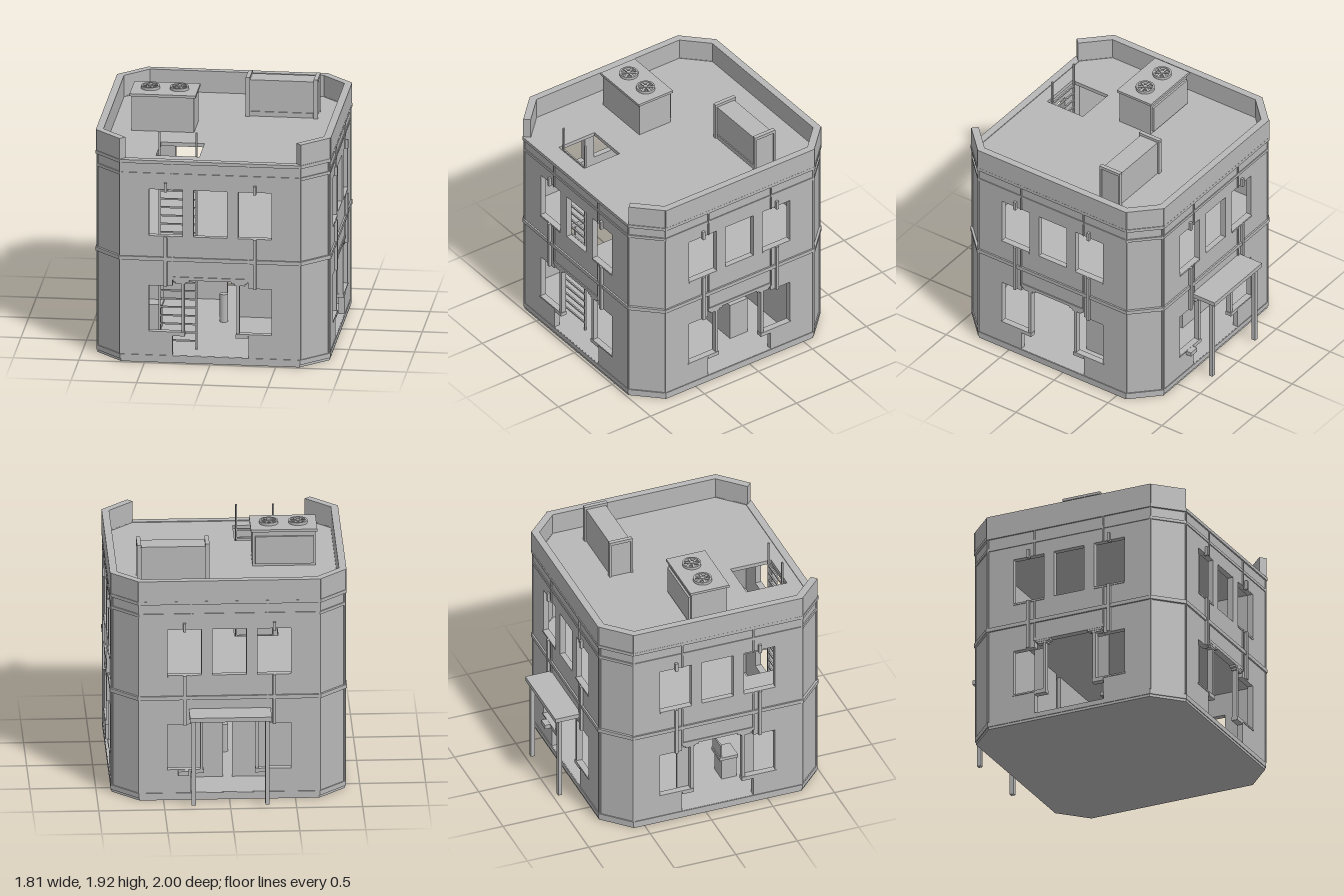
import * as THREE from 'three';

export function createModel() {
  const model = new THREE.Group();
  model.name = 'cornerBuilding';
  const grey = new THREE.MeshStandardMaterial({ color: 0xb8b8b8 });
  grey.name = 'plain grey';

  const add = (parent, name, geo) => {
    const mesh = new THREE.Mesh(geo, grey);
    mesh.name = name;
    parent.add(mesh);
    return mesh;
  };
  // Box given by its two extremes on each axis
  const box = (parent, name, x0, x1, y0, y1, z0, z1) => {
    const mesh = add(parent, name, new THREE.BoxGeometry(x1 - x0, y1 - y0, z1 - z0));
    mesh.position.set((x0 + x1) / 2, (y0 + y1) / 2, (z0 + z1) / 2);
    return mesh;
  };
  const path = pts => pts.map(p => new THREE.Vector2(p[0], p[1]));
  const rect = (x0, x1, y0, y1) => new THREE.Path(path([[x0, y0], [x0, y1], [x1, y1], [x1, y0]]));

  // Square plan with cut corners; a is the distance from centre to wall
  const octagon = (a, cut = 0.205) => {
    const b = a - cut;
    return path([[b, -a], [a, -b], [a, b], [b, a], [-b, a], [-a, b], [-a, -b], [-b, -a]]);
  };
  const slab = (parent, name, a, y0, y1, holes = []) => {
    const shape = new THREE.Shape(octagon(a));
    shape.holes.push(...holes);
    const geo = new THREE.ExtrudeGeometry(shape, { depth: y1 - y0, bevelEnabled: false });
    geo.rotateX(-Math.PI / 2);
    add(parent, name, geo).position.y = y0;
  };
  const ring = (parent, name, a, y0, y1, inner = 0.84) =>
    slab(parent, name, a, y0, y1, [new THREE.Path(octagon(inner, 0.18))]);

  const house = new THREE.Group();
  house.name = 'house';
  house.position.z = 0.095;
  model.add(house);

  // Floors and roof, the upper two with a ladder hatch
  const hatch = () => rect(-0.43, -0.10, -0.745, -0.415);
  slab(house, 'baseSlab', 0.885, 0, 0.02);
  slab(house, 'groundFloor', 0.86, 0.02, 0.06);
  slab(house, 'upperFloor', 0.86, 0.79, 0.83, [hatch()]);
  slab(house, 'roof', 0.86, 1.57, 1.6, [hatch()]);

  // Four identical walls
  const W = 0.885, T = 0.045;
  for (let i = 0; i < 4; i++) {
    const side = new THREE.Group();
    side.name = ['frontWall', 'leftWall', 'backWall', 'rightWall'][i];
    side.rotation.y = i * Math.PI / 2;
    house.add(side);

    const wall = new THREE.Shape(path([[-0.68, 0.02], [0.68, 0.02], [0.68, 1.6], [-0.68, 1.6]]));
    for (const x of [-0.34, 0, 0.34]) wall.holes.push(rect(x - 0.128, x + 0.128, 1.005, 1.375));
    // Doorway joined to a window on each side
    wall.holes.push(new THREE.Path(path([
      [-0.29, 0.06], [-0.29, 0.245], [-0.468, 0.245], [-0.468, 0.61], [-0.29, 0.61], [-0.29, 0.66],
      [0.29, 0.66], [0.29, 0.61], [0.468, 0.61], [0.468, 0.245], [0.29, 0.245], [0.29, 0.06]])));
    add(side, 'wall', new THREE.ExtrudeGeometry(wall, { depth: T, bevelEnabled: false })).position.z = W - T;

    box(side, 'lintel', -0.29, 0.29, 0.66, 0.685, W - T, W + 0.008);
    for (const s of [-1, 1]) {
      const at = (name, x, w, y0, y1, z0, z1) =>
        box(side, name, s * x - w / 2, s * x + w / 2, y0, y1, z0, z1);
      // Thin strips and the wider ones that join the windows
      at('thinStrip', 0.29, 0.012, 0.66, 1.005, W - 0.01, W + 0.01);
      at('thinStrip', 0.29, 0.012, 1.375, 1.58, W - 0.01, W + 0.01);
      at('windowStrip', 0.34, 0.025, 0.61, 1.005, W - 0.01, W + 0.022);
      at('windowKeystone', 0.34, 0.022, 1.36, 1.43, W - 0.01, W + 0.022);
      at('edgeStrip', 0.683, 0.014, 0.06, 1.58, W - 0.01, W + 0.006);
      // Window post standing in the doorway
      at('windowPost', 0.21, 0.022, 0.235, 0.635, W - T, W);
      at('postCap', 0.225, 0.08, 0.63, 0.647, W - T, W + 0.003);
      at('postTopCap', 0.22, 0.12, 0.645, 0.662, W - T, W + 0.006);
      at('postFoot', 0.242, 0.095, 0.215, 0.245, W - T, W + 0.006);
      at('lowerSill', 0.34, 0.27, 0.235, 0.247, W - T, W + 0.006);
      at('upperSill', 0.34, 0.256, 0.993, 1.007, W - T, W + 0.006);
    }

    // Cut corner, with its edge strips and parapet
    const corner = new THREE.Group();
    corner.name = 'cutCorner';
    corner.rotation.y = Math.PI / 4;
    side.add(corner);
    const D = (2 * W - 0.205) / Math.SQRT2;
    box(corner, 'cornerWall', -0.143, 0.143, 0.02, 1.6, D - T, D);
    box(corner, 'cornerParapet', -0.14, 0.14, 1.605, 1.77, D - 0.045, D + 0.012);
    for (const s of [-1, 1]) box(corner, 'cornerEdge', s * 0.137 - 0.008, s * 0.137 + 0.008, 0.06, 1.58, D - 0.01, D + 0.006);

    // The front is left open at roof level
    if (i > 0) box(side, 'parapet', -0.69, 0.69, 1.605, 1.77, 0.84, 0.896);
  }

  // Bands that run right round
  ring(house, 'footBand', 0.891, 0.02, 0.058, 0.85);
  ring(house, 'floorBand', 0.898, 0.81, 0.84);
  ring(house, 'thinBand', 0.892, 1.482, 1.505);
  ring(house, 'cornice', 0.897, 1.58, 1.606);

  // Ladder through both hatches
  const ladder = new THREE.Group();
  ladder.name = 'ladder';
  model.add(ladder);
  for (const x of [-0.406, -0.126]) box(ladder, 'ladderRail', x - 0.007, x + 0.007, 0.06, 1.78, 0.803, 0.817);
  for (let y = 0.125; y < 1.6; y += 0.066) box(ladder, 'rung', -0.406, -0.126, y - 0.006, y + 0.006, 0.804, 0.816);

  // Rooftop cooling unit with two fans
  const unit = new THREE.Group();
  unit.name = 'coolingUnit';
  model.add(unit);
  box(unit, 'unitBody', -0.688, -0.21, 1.6, 1.878, -0.04, 0.25);
  box(unit, 'unitLid', -0.7, -0.197, 1.875, 1.895, -0.053, 0.263);
  box(unit, 'unitPanel', -0.67, -0.23, 1.62, 1.84, -0.056, -0.04);
  for (const x of [-0.56, -0.338]) {
    const fan = new THREE.Group();
    fan.name = 'fan';
    fan.position.set(x, 1.895, 0.1);
    unit.add(fan);
    const rim = new THREE.Shape().absarc(0, 0, 0.072, 0, Math.PI * 2);
    rim.holes.push(new THREE.Path().absarc(0, 0, 0.058, 0, Math.PI * 2, true));
    add(fan, 'fanRim', new THREE.ExtrudeGeometry(rim, { depth: 0.022, bevelEnabled: false }).rotateX(-Math.PI / 2));
    add(fan, 'fanHub', new THREE.CylinderGeometry(0.018, 0.018, 0.024, 16)).position.y = 0.013;
    for (let k = 0; k < 3; k++) {
      const blade = box(fan, 'fanBlade', -0.062, 0.062, 0.01, 0.018, -0.009, 0.009);
      blade.rotation.y = k * Math.PI / 3;
    }
  }

  // Rooftop cabinet with raised end frames
  const cabinet = new THREE.Group();
  cabinet.name = 'roofCabinet';
  model.add(cabinet);
  box(cabinet, 'cabinetBody', 0.14, 0.67, 1.6, 1.888, -0.368, -0.208);
  box(cabinet, 'cabinetFoot', 0.17, 0.645, 1.605, 1.64, -0.21, -0.2);
  for (const x of [0.147, 0.665]) {
    box(cabinet, 'endTop', x - 0.016, x + 0.016, 1.885, 1.91, -0.382, -0.195);
    for (const z of [-0.376, -0.202]) box(cabinet, 'endPost', x - 0.016, x + 0.016, 1.6, 1.89, z - 0.007, z + 0.007);
  }

  // Porch and ledge at the back
  const porch = new THREE.Group();
  porch.name = 'porch';
  model.add(porch);
  box(porch, 'porchRoof', -0.312, 0.308, 0.7, 0.735, -1, -0.79);
  for (const x of [-0.28, 0.28]) box(porch, 'porchPost', x - 0.016, x + 0.016, 0.02, 0.7, -0.97, -0.938);
  box(porch, 'backLedge', 0.31, 0.39, 0.21, 0.245, -0.838, -0.79);

  // Ground floor interior
  const inside = new THREE.Group();
  inside.name = 'interior';
  model.add(inside);
  for (const s of [-1, 1]) {
    box(inside, 'partition', s < 0 ? -0.84 : 0.035, s < 0 ? -0.035 : 0.84, 0.06, 0.79, -0.46, -0.43);
    const z = 0.095 + s * 0.263;
    box(inside, 'sidePanel', -0.84, -0.82, 0.245, 0.61, z - 0.052, z + 0.052);
  }
  box(inside, 'counter', 0.11, 0.6, 0.06, 0.37, -0.18, -0.02);
  add(inside, 'stool', new THREE.CylinderGeometry(0.032, 0.032, 0.22, 20)).position.set(0, 0.17, 0.1);
  box(inside, 'bench', -0.6, -0.45, 0.06, 0.235, 0.24, 0.36);
  box(inside, 'benchSeat', -0.61, -0.44, 0.235, 0.26, 0.22, 0.37);
  box(inside, 'benchBack', -0.61, -0.44, 0.26, 0.37, 0.228, 0.24);

  return model;
}
